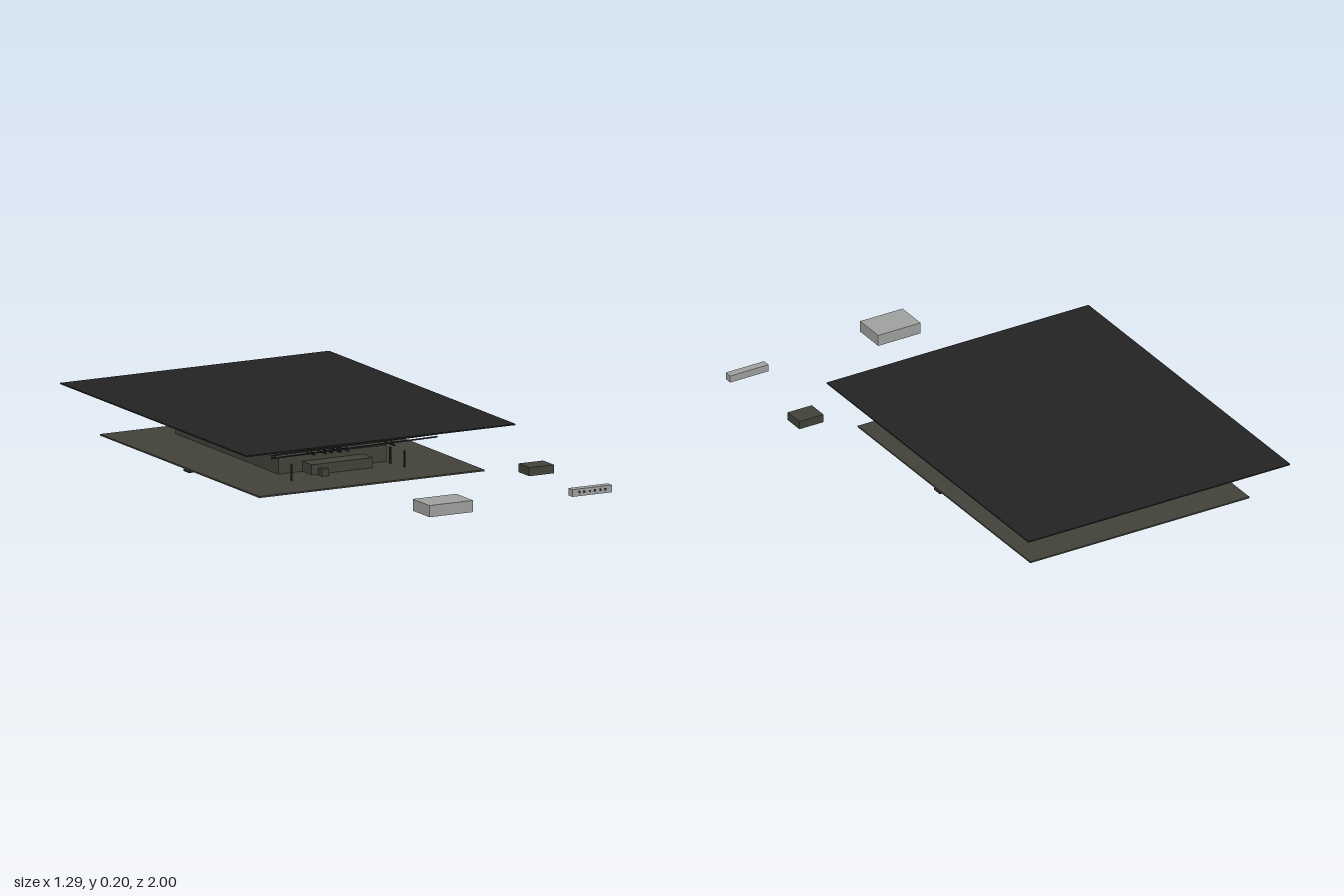
import * as THREE from 'three';

const mat = (name, color) => {
  const m = new THREE.MeshStandardMaterial({ color });
  m.name = name;
  return m;
};

export function createModel() {
  const model = new THREE.Group();
  const black = mat('black', 0x232323);
  const olive = mat('darkOlive', 0x42423a);
  const grey = mat('grey', 0x9fa19f);

  // Box given by its extents along each axis
  const box = (name, m, [x0, x1], [y0, y1], [z0, z1], parent = model) => {
    const mesh = new THREE.Mesh(new THREE.BoxGeometry(x1 - x0, y1 - y0, z1 - z0), m);
    mesh.name = name;
    mesh.position.set((x0 + x1) / 2, (y0 + y1) / 2, (z0 + z1) / 2);
    parent.add(mesh);
    return mesh;
  };
  // Thin square bar between two points
  const bar = (name, a, b, t, parent) => {
    const from = new THREE.Vector3(...a), to = new THREE.Vector3(...b);
    const mesh = new THREE.Mesh(new THREE.BoxGeometry(t, t, from.distanceTo(to)), black);
    mesh.name = name;
    mesh.position.copy(from).add(to).multiplyScalar(0.5);
    mesh.lookAt(to);
    parent.add(mesh);
  };

  // Large flat sheets
  box('coverSheet', black, [-0.647, 0.507], [0.191, 0.196], [-1, 0.45]);
  box('baseSheet', olive, [-0.553, 0.413], [0.01, 0.016], [-0.86, 0.38]);

  // Strip below the base, interrupted in the middle
  box('baseStripRight', black, [-0.553, -0.092], [0, 0.01], [-0.21, -0.168]);
  box('baseStripLeft', black, [-0.025, 0.413], [0, 0.01], [-0.21, -0.168]);

  // Main block on the base with its low front step and raised lid
  box('mainBlock', olive, [-0.303, 0.16], [0.016, 0.079], [-0.727, 0.075]);
  box('frontStep', olive, [-0.2, 0.062], [0.016, 0.055], [0.075, 0.147]);
  box('lidPlate', black, [0, 0.155], [0.079, 0.085], [-0.545, -0.445]);
  box('frontTab', olive, [-0.18, -0.15], [0.016, 0.044], [0.165, 0.19]);

  // Slim uprights around the block
  for (const [x, z] of [[-0.313, 0.195], [0.157, 0.11], [0.172, 0.195]]) {
    box('upright', black, [x - 0.003, x + 0.003], [0.016, 0.079], [z - 0.003, z + 0.003]);
  }

  // Light frames running front to back
  const frames = new THREE.Group();
  frames.name = 'frameLayer';
  model.add(frames);
  const zA = -0.785, zB = 0.243, bays = 7;
  for (const x of [-0.24, -0.19, -0.163, -0.132, -0.125, -0.093, 0.104]) {
    for (const y of [0.115, 0.139, 0.155, 0.174]) {
      bar('longRail', [x, y, zA], [x, y, zB], 0.004, frames);
    }
    for (let i = 0; i < bays; i++) {
      const z0 = zA + (zB - zA) * i / bays, z1 = zA + (zB - zA) * (i + 1) / bays;
      const ys = i % 2 ? [0.115, 0.174] : [0.174, 0.115];
      bar('diagonal', [x, ys[0], z0], [x, ys[1], z1], 0.003, frames);
    }
  }

  // Slightly tilted bars running side to side
  for (let i = 0; i < 8; i++) {
    const z = zA + (zB - zA) * i / 7;
    const tilt = i % 2 ? 0.004 : -0.004;
    for (const y of [0.126, 0.137, 0.148]) {
      bar('crossBar', [-0.427, y - tilt, z], [0.286, y + tilt, z], 0.005, frames);
    }
  }

  // Three loose parts in front
  box('greyBox', grey, [-0.165, 0.022], [0.015, 0.06], [0.87, 1]);
  box('darkBox', olive, [0.507, 0.613], [0.015, 0.048], [0.473, 0.557]);
  box('connector', grey, [0.476, 0.645], [0.015, 0.043], [0.918, 0.95]);
  for (let i = 0; i < 6; i++) {
    const x = 0.505 + i * 0.0225;
    box('connectorSlot', black, [x - 0.004, x + 0.004], [0.026, 0.034], [0.949, 0.952]);
  }
  return model;
}
